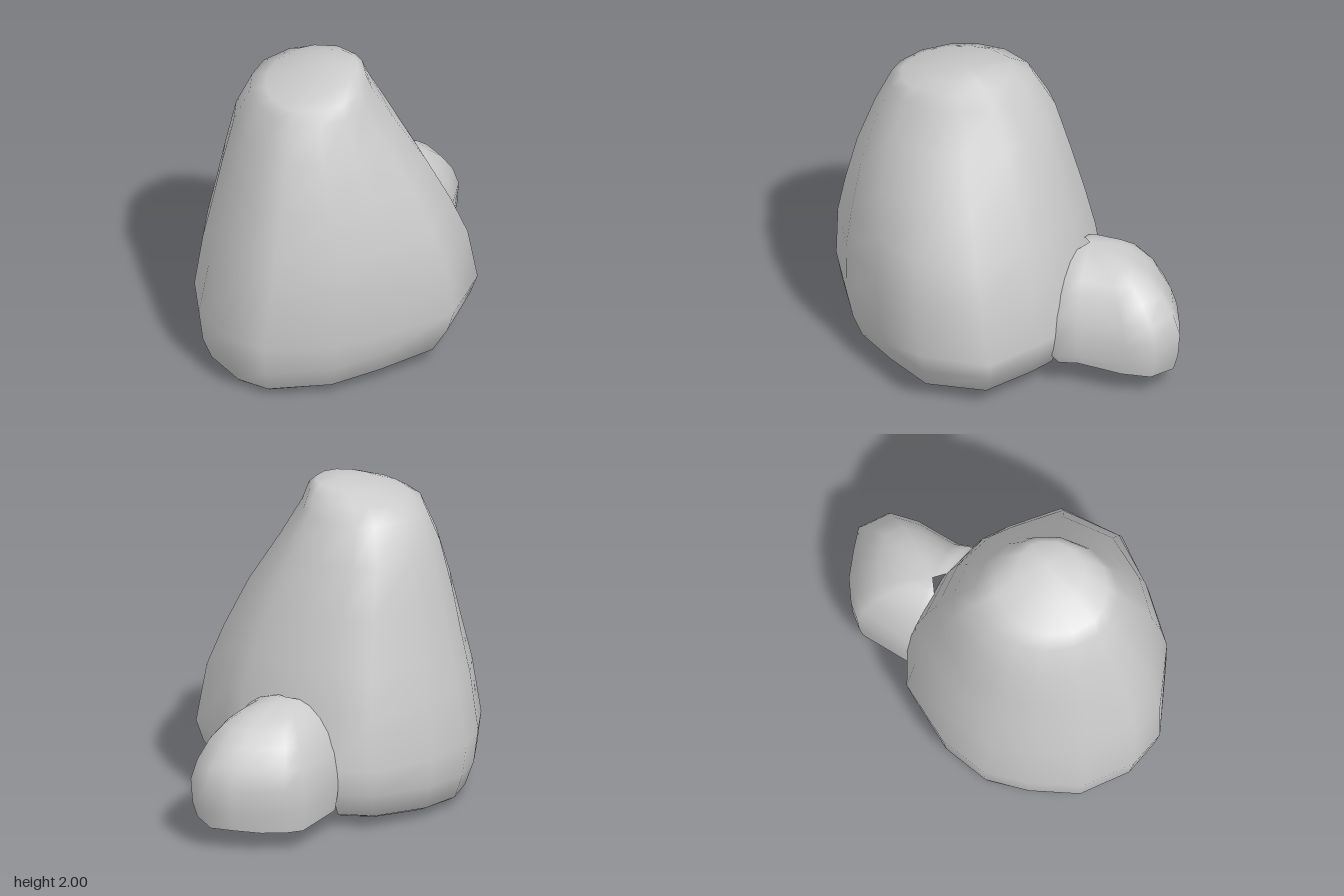
import * as THREE from 'three';

// Stack of rings (counter-clockwise from above), capped by a fan to an apex; open at the base
function skin(rings, apex, closed, skip = () => false) {
  const n = rings[0].length, pos = rings.flat(2), idx = [];
  const spans = closed ? n : n - 1, tip = rings.length * n;
  pos.push(...apex);
  rings.forEach((_, i) => {
    for (let j = 0; j < spans; j++) {
      const a = i * n + j, b = i * n + (j + 1) % n;
      if (i === rings.length - 1) idx.push(a, b, tip);
      else if (!skip(i, j)) idx.push(a, b, b + n, a, b + n, a + n);
    }
  });
  const g = new THREE.BufferGeometry();
  g.setAttribute('position', new THREE.Float32BufferAttribute(pos, 3));
  g.setIndex(idx);
  g.computeVertexNormals();
  return g;
}

// Ground outline of the large boulder [x, z]
const BODY = [
  [-1, .18], [-.94, .52], [-.8, .72], [-.38, .87], [0, .85], [.42, .79], [.71, .47], [.65, .08],
  [.6, -.1], [.42, -.37], [.15, -.62], [-.1, -.69], [-.5, -.57], [-.76, -.38], [-.9, -.13],
];
// Heights with bounds: y, xMin, xMax, zMin, zMax, share of the oval used at the crown
const LEVELS = [
  [0, -.86, .48, -.48, .68, 0],
  [.05, -.91, .57, -.6, .76, 0],
  [.2, -.97, .67, -.66, .82, 0],
  [.4, -1, .71, -.69, .86, 0],
  [.75, -.95, .65, -.64, .87, .1],
  [1, -.89, .56, -.58, .84, .25],
  [1.3, -.82, .43, -.5, .78, .5],
  [1.6, -.73, .26, -.42, .68, .8],
  [1.83, -.63, .13, -.29, .58, 1],
  [1.91, -.55, .08, -.16, .52, 1],
  [1.96, -.38, .03, -.01, .4, 1],
];

// Outline of the small boulder, open where it meets the large one
const LOBE = [
  [.42, -.02], [.63, -.04], [.68, -.15], [.9, -.36], [1, -.52], [.96, -.71],
  [.82, -.78], [.66, -.85], [.5, -.88], [.38, -.87], [.1, -.62], [.05, -.45],
];
// Height and scale about the pivot
const LOBE_LEVELS = [[.15, .93], [.25, .98], [.4, 1], [.52, .93], [.64, .8], [.72, .65], [.78, .46], [.81, .25]];

export function createModel() {
  const group = new THREE.Group();
  const material = new THREE.MeshStandardMaterial({ color: 0xcccccc, side: THREE.DoubleSide });
  const add = (name, geometry) => {
    const mesh = new THREE.Mesh(geometry, material);
    mesh.name = name;
    group.add(mesh);
  };

  // Large tapering boulder, its foot and crown slightly tilted
  const bodyRings = LEVELS.map(([y, x0, x1, z0, z1, k]) => BODY.map(([bx, bz]) => {
    const u = (bx + .145) / .855, v = (bz - .09) / .78, t = Math.atan2(v, u);
    const x = (x0 + x1) / 2 + (x1 - x0) / 2 * THREE.MathUtils.lerp(u, Math.cos(t + .05), k);
    const z = (z0 + z1) / 2 + (z1 - z0) / 2 * THREE.MathUtils.lerp(v, Math.sin(t - .05), k);
    const tilt = y < .3 ? .05 * (x + .78) : y > 1.85 ? .11 * (x + .2) : 0;
    return [x, Math.max(0, y + tilt), z];
  }));
  // The hidden wall between the two boulders is left out
  add('largeBoulder', skin(bodyRings, [-.13, 2, .18], true, (i, j) => i < 3 && (j === 8 || j === 9)));

  // Small boulder leaning on the back left side, its open foot rising toward the front
  const px = .38, pz = -.4;
  const lobeRings = LOBE_LEVELS.map(([y, s], i) => LOBE.map(([x, z]) =>
    [px + (x - px) * s, y + (i === 0 ? .09 * (z + .55) : 0), pz + (z - pz) * s]));
  add('smallBoulder', skin(lobeRings, [px, .83, pz], false));

  return group;
}
